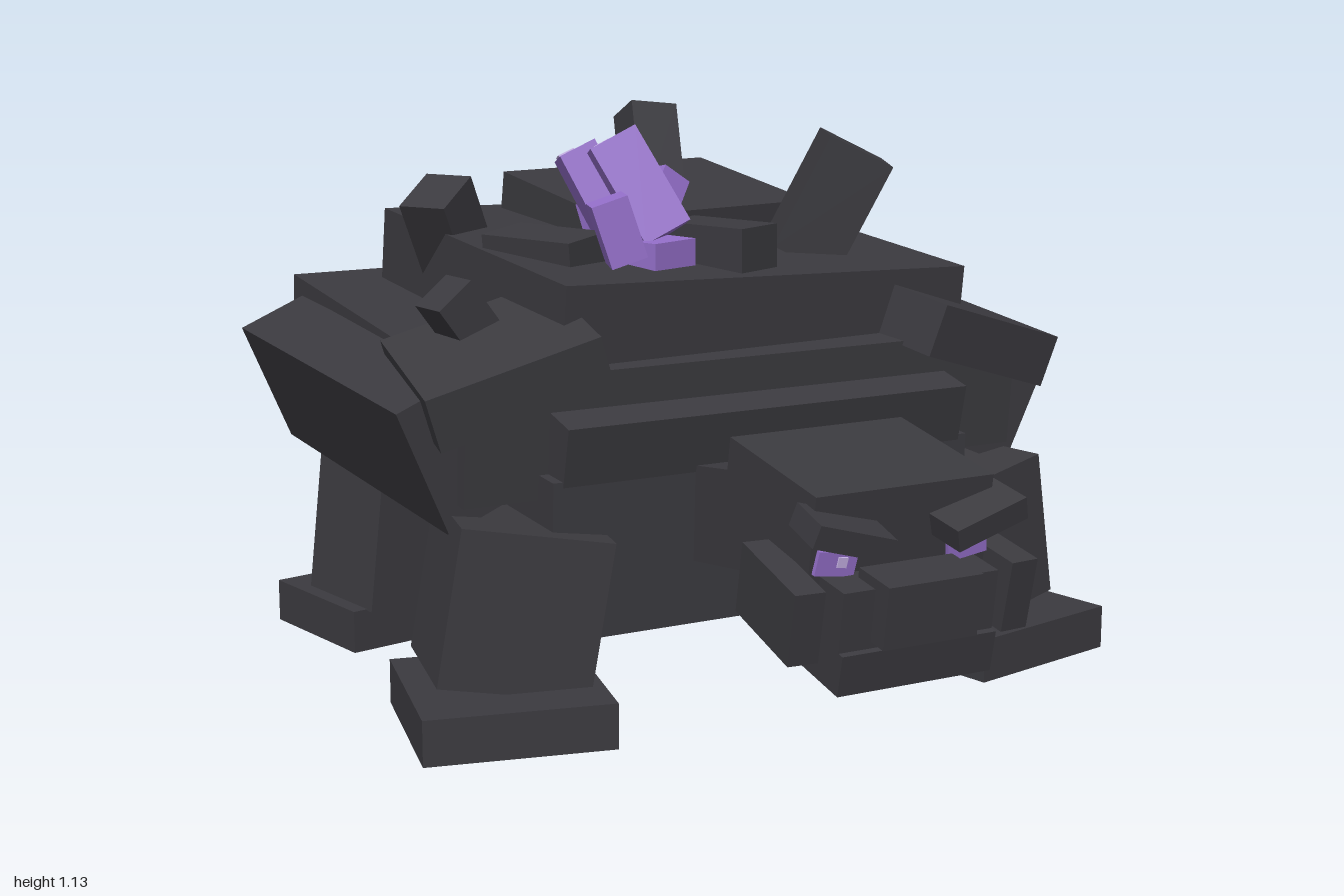
import * as THREE from 'three';

export function createModel() {
  const model = new THREE.Group();
  model.name = 'rockTortoise';
  const mat = (name, color) => {
    const m = new THREE.MeshStandardMaterial({ color });
    m.name = name;
    return m;
  };
  const stone = mat('dark stone', 0x3b3a3f);
  const crystal = mat('purple crystal', 0x9570cb);
  const glint = mat('pale crystal glint', 0xc8b2e8);

  // Box from size, centre and rotation; yaw is applied outermost
  function box(name, size, pos, rot = [0, 0, 0], material = stone, parent = model) {
    const mesh = new THREE.Mesh(new THREE.BoxGeometry(...size), material);
    mesh.name = name;
    mesh.position.set(...pos);
    mesh.rotation.set(rot[0], rot[1], rot[2], 'YXZ');
    parent.add(mesh);
    return mesh;
  }
  // Same box on the left (+x) and mirrored on the right
  function pair(name, size, [x, y, z], [rx, ry, rz] = [0, 0, 0], material = stone) {
    box(name + 'Left', size, [x, y, z], [rx, ry, rz], material);
    box(name + 'Right', size, [-x, y, z], [rx, -ry, -rz], material);
  }

  // Trunk and layered shell
  box('trunk', [0.94, 0.32, 0.88], [0, 0.34, -0.03], [0.04, 0, 0]);
  box('lowerShell', [1.25, 0.245, 0.95], [0, 0.597, -0.115], [0.085, 0, 0]);
  box('middleShell', [0.95, 0.17, 0.83], [0.045, 0.773, -0.1], [0.075, 0.05, -0.035]);
  box('upperShell', [0.54, 0.12, 0.41], [0.115, 0.885, -0.29], [0.15, 0.13, 0]);
  box('frontRim', [0.9, 0.12, 0.14], [0, 0.545, 0.362], [0.22, 0, 0]);
  box('backRim', [0.94, 0.18, 0.15], [0, 0.57, -0.605], [-0.3, 0, 0]);
  pair('sideRim', [0.15, 0.27, 0.85], [0.635, 0.55, -0.1], [0.04, -0.02, -0.41]);
  pair('shoulderPlate', [0.35, 0.11, 0.37], [0.508, 0.685, 0.24], [0.14, 0.15, -0.3]);

  // Legs and broad feet, splayed outwards
  pair('frontLeg', [0.3, 0.31, 0.28], [0.51, 0.24, 0.305], [0, 0.21, 0.17]);
  pair('frontFoot', [0.37, 0.09, 0.38], [0.555, 0.045, 0.352], [0, 0.22, 0]);
  pair('backLeg', [0.26, 0.32, 0.25], [0.485, 0.23, -0.35], [0, -0.19, 0.12]);
  pair('backFoot', [0.32, 0.09, 0.315], [0.515, 0.045, -0.395], [0, -0.19, 0]);

  // Neck and head
  box('neck', [0.33, 0.19, 0.32], [0, 0.39, 0.43], [-0.14, 0, 0]);
  box('head', [0.38, 0.23, 0.31], [0, 0.44, 0.73], [0.16, 0, 0]);
  box('lowerJaw', [0.33, 0.08, 0.26], [0, 0.235, 0.82], [0.2, 0, 0]);
  box('face', [0.33, 0.12, 0.14], [0, 0.315, 0.88], [0.14, 0, 0]);
  box('muzzle', [0.2, 0.12, 0.1], [0, 0.325, 0.945], [0.14, 0, 0]);
  pair('cheek', [0.06, 0.14, 0.22], [0.22, 0.325, 0.83], [0.2, 0.08, 0]);
  pair('brow', [0.16, 0.045, 0.1], [0.142, 0.463, 0.915], [0.2, 0.1, 0.28]);
  pair('eye', [0.084, 0.046, 0.009], [0.141, 0.4, 0.889], [0.16, 0, 0.15], crystal);
  pair('eyeGlint', [0.02, 0.02, 0.004], [0.13, 0.402, 0.895], [0.16, 0, 0.15], glint);

  // Tail
  box('tailBase', [0.2, 0.18, 0.28], [-0.02, 0.35, -0.63], [0.28, 0.05, 0]);
  box('tailMiddle', [0.16, 0.14, 0.16], [-0.03, 0.41, -0.77], [0.33, 0.2, 0]);
  box('tailTip', [0.15, 0.17, 0.17], [-0.053, 0.445, -0.88], [0.33, 0.36, 0]);

  // Rock spikes on the shell
  box('backSpike', [0.11, 0.26, 0.1], [0.135, 0.985, -0.345], [-0.45, 0, -0.12]);
  box('leftSpike', [0.15, 0.26, 0.13], [0.335, 0.935, 0.085], [0.05, -0.38, -0.47]);
  box('rightSpike', [0.12, 0.2, 0.11], [-0.395, 0.88, -0.25], [0, 0.6, 0.5]);
  box('leftRimSpike', [0.11, 0.16, 0.11], [0.622, 0.74, -0.4], [0, 0.15, -0.7]);
  box('rightRimSpike', [0.09, 0.13, 0.09], [-0.54, 0.765, 0.15], [0, 0.15, 0.65]);
  box('leftRubble', [0.12, 0.09, 0.21], [0.02, 0.875, 0.17], [0, 0.42, 0]);
  box('rightRubble', [0.12, 0.09, 0.23], [-0.31, 0.86, 0.05], [0, 0.42, 0.1]);

  // Crystal cluster
  const cluster = new THREE.Group();
  cluster.name = 'crystalCluster';
  model.add(cluster);
  const gems = [
    ['crystalBase', [0.12, 0.06, 0.15], [-0.13, 0.865, 0.15], [0, 0.35, 0]],
    ['mainCrystal', [0.105, 0.22, 0.1], [-0.135, 0.99, 0.11], [-0.3, -0.3, 0.48]],
    ['frontCrystal', [0.075, 0.13, 0.075], [-0.22, 0.92, 0.19], [0, -0.3, 0.32]],
    ['backCrystal', [0.08, 0.17, 0.08], [-0.2, 0.99, 0.05], [-0.25, -0.3, 0.45]],
    ['sideCrystal', [0.07, 0.12, 0.07], [-0.05, 0.955, 0.04], [-0.2, 0.2, -0.6]],
    ['rearCrystal', [0.06, 0.12, 0.06], [-0.15, 0.9, -0.01], [-0.3, 0.3, 0.1]],
  ];
  for (const [name, size, pos, rot] of gems) box(name, size, pos, rot, crystal, cluster);
  // Pale glints lie on the crystal ends
  const tip = (i, w) => {
    const gem = cluster.children[i];
    box('glint', [w, 0.005, w], [-0.02, gems[i][1][1] / 2 + 0.002, 0], [0, 0, 0], glint, gem);
  };
  tip(1, 0.035);
  tip(3, 0.035);

  return model;
}
